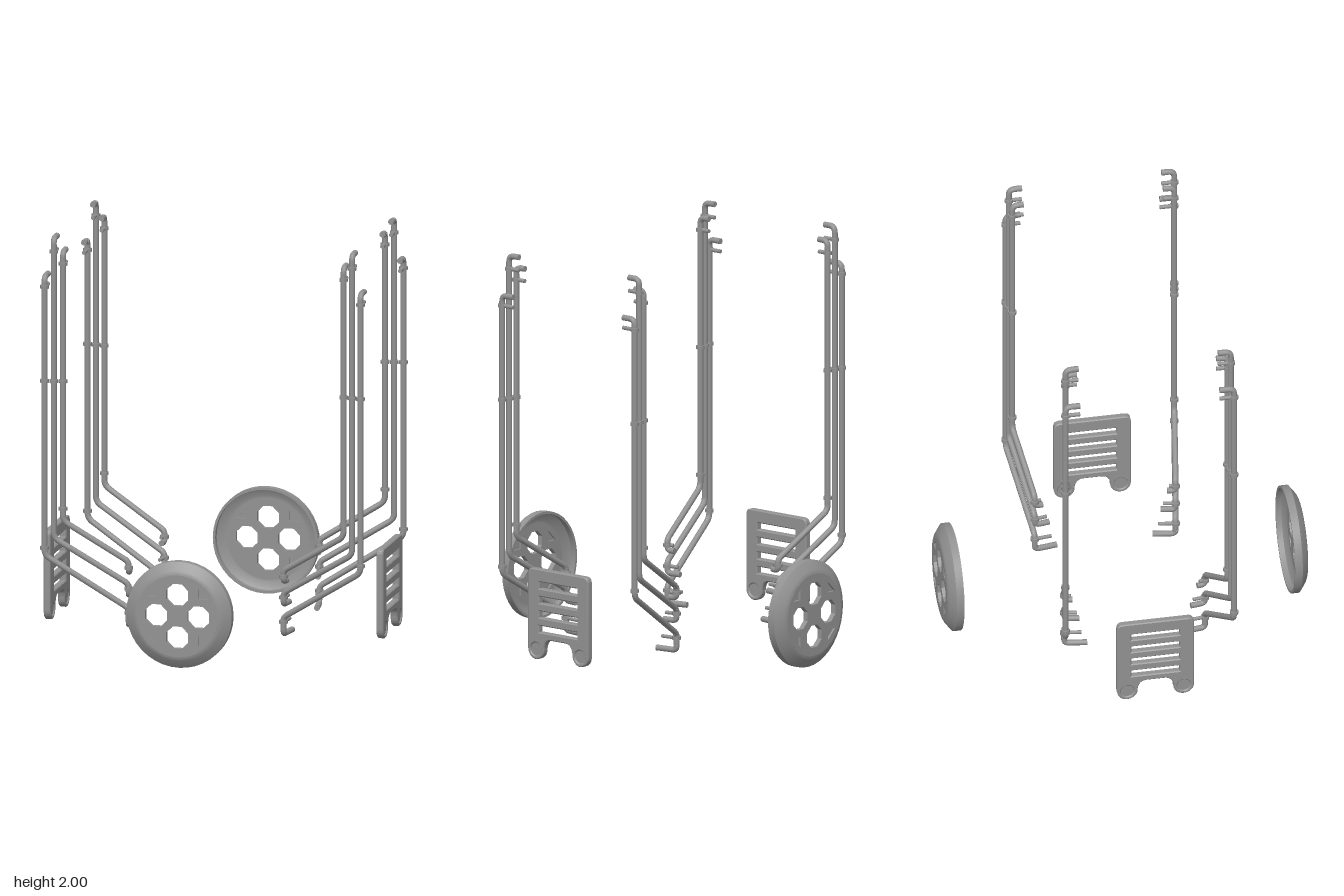
import * as THREE from 'three';
import { toCreasedNormals } from 'three/addons/utils/BufferGeometryUtils.js';

const material = new THREE.MeshStandardMaterial({ color: 0x929292 });
const PIPE_R = 0.0145;

function add(parent, name, geometry) {
  const mesh = new THREE.Mesh(geometry, material);
  mesh.name = name;
  parent.add(mesh);
  return mesh;
}

// Closed cylinder running from point a to point b
function rod(parent, name, a, b, radius) {
  const dir = b.clone().sub(a);
  const mesh = add(parent, name, new THREE.CylinderGeometry(radius, radius, dir.length(), 10));
  mesh.position.copy(a).addScaledVector(dir, 0.5);
  mesh.quaternion.setFromUnitVectors(new THREE.Vector3(0, 1, 0), dir.normalize());
}

// Straight runs joined by rounded elbows
function pipe(parent, points, bends) {
  let start = points[0];
  for (let i = 1; i < points.length; i++) {
    const p = points[i];
    if (i === points.length - 1) {
      rod(parent, 'pipeRun', start, p, PIPE_R);
      break;
    }
    const bend = bends[i - 1];
    const a = p.clone().add(points[i - 1].clone().sub(p).setLength(bend));
    const b = p.clone().add(points[i + 1].clone().sub(p).setLength(bend));
    rod(parent, 'pipeRun', start, a, PIPE_R);
    add(parent, 'pipeElbow', new THREE.TubeGeometry(new THREE.QuadraticBezierCurve3(a, p, b), 6, PIPE_R, 10));
    start = b;
  }
}

// Three bent pipes with collars and wall brackets for one corner
function pipeBundle(sx, sz) {
  const group = new THREE.Group();
  group.name = 'pipeBundle';
  const v = (x, y, z) => new THREE.Vector3(sx * x, y, sz * z);
  const specs = [
    { x: 0.698, z: 0.397, top: 1.92, knee: 0.59, low: 0.395, foot: 0.34, end: 0.305, collars: [1.28, 0.65], bracket: 1.86, clamp: 0.365, clampEnd: 0.315 },
    { x: 0.742, z: 0.405, top: 1.985, knee: 0.505, low: 0.285, foot: 0.228, end: 0.273, collars: [1.28], bracket: 1.92, clamp: 0.262, clampEnd: 0.285 },
    { x: 0.786, z: 0.413, top: 1.795, knee: 0.42, low: 0.165, foot: 0.082, end: 0.235, collars: [1.28, 0.455], bracket: 1.745, clamp: 0.142, clampEnd: 0.262 },
  ];
  for (const s of specs) {
    const hx = 0.385, hz = 0.345;
    const endX = hx + (hz - s.end) * 0.15;
    pipe(group, [
      v(s.x, s.top, 0.342), v(s.x, s.top, s.z), v(s.x, s.knee, s.z),
      v(hx, s.low, hz), v(hx, s.foot, hz), v(endX, s.foot, s.end),
    ], [0.03, 0.03, 0.022, 0.022]);
    for (const y of [...s.collars, s.bracket])
      rod(group, 'collar', v(s.x, y - 0.008, s.z), v(s.x, y + 0.008, s.z), 0.021);
    rod(group, 'wallBracket', v(s.x, s.bracket, s.z), v(s.x, s.bracket, 0.342), 0.01);
    rod(group, 'lowerCollar', v(hx, s.clamp - 0.008, hz), v(hx, s.clamp + 0.008, hz), 0.021);
    rod(group, 'lowerBracket', v(hx, s.clamp, hz), v(hx + 0.01, s.clamp, s.clampEnd), 0.009);
  }
  return group;
}

// Flat disc shape with four octagonal holes and optional triangular pockets
function discShape(radius, pockets) {
  const shape = new THREE.Shape().absarc(0, 0, radius, 0, Math.PI * 2, false);
  for (let i = 0; i < 4; i++) {
    const a = i * Math.PI / 2;
    const corners = [];
    for (let k = 0; k < 8; k++) {
      const b = -(k + 0.5) * Math.PI / 4;
      corners.push(new THREE.Vector2(Math.cos(a) * 0.105 + Math.cos(b) * 0.059, Math.sin(a) * 0.105 + Math.sin(b) * 0.059));
    }
    shape.holes.push(new THREE.Path(corners));
  }
  if (pockets) for (const sx of [1, -1]) for (const sy of [1, -1]) {
    const pts = [[0.105, 0.092], [0.158, 0.092], [0.105, 0.143]];
    shape.holes.push(new THREE.Path(pts.map(([x, y]) => new THREE.Vector2(sx * x, sy * y))));
  }
  return shape;
}

// Round cover: bevelled hollow rim with a pierced face
function cover() {
  const group = new THREE.Group();
  group.name = 'roundCover';
  const profile = [
    [0.2, 0.858], [0.213, 0.858], [0.25, 0.838], [0.25, 0.81], [0.262, 0.81],
    [0.262, 0.847], [0.222, 0.877], [0.208, 0.883], [0.2, 0.884], [0.2, 0.858],
  ].map(([r, h]) => new THREE.Vector2(r, h));
  const rim = new THREE.LatheGeometry(profile, 40).rotateX(Math.PI / 2);
  add(group, 'coverRim', toCreasedNormals(rim, 0.6));
  const plate = (name, z, depth, pockets) => {
    const geo = new THREE.ExtrudeGeometry(discShape(0.202, pockets), { depth, bevelEnabled: false, curveSegments: 20 });
    add(group, name, geo.translate(0, 0, z));
  };
  // Triangular pockets are sunk into both faces of a solid core
  plate('coverInnerFace', 0.858, 0.009, true);
  plate('coverCore', 0.867, 0.006, false);
  plate('coverFace', 0.873, 0.011, true);
  return group;
}

// Slotted side panel with two round feet and an arch between them
function panel(side) {
  const group = new THREE.Group();
  group.name = 'sidePanel';
  const w = 0.188, top = 0.492, r = 0.03, footU = 0.138, footY = 0.095, footR = 0.05;
  const s = new THREE.Shape();
  s.moveTo(-w, footY);
  s.absarc(-footU, footY, footR, Math.PI, Math.PI * 2, false);
  s.quadraticCurveTo(-0.085, 0.146, -0.045, 0.148);
  s.lineTo(0.045, 0.148);
  s.quadraticCurveTo(0.085, 0.146, footU - footR, footY);
  s.absarc(footU, footY, footR, Math.PI, Math.PI * 2, false);
  s.lineTo(w, top - r);
  s.quadraticCurveTo(w, top, w - r, top);
  s.lineTo(-w + r, top);
  s.quadraticCurveTo(-w, top, -w, top - r);
  s.closePath();
  for (let i = 0; i < 4; i++) {
    const y = 0.197 + i * 0.072, h = 0.0165, u = 0.119;
    s.holes.push(new THREE.Path([[-u, y - h], [-u, y + h], [u, y + h], [u, y - h]]
      .map(([a, b]) => new THREE.Vector2(a, b))));
  }
  for (const u of [-footU, footU])
    s.holes.push(new THREE.Path().absarc(u, footY, 0.032, 0, Math.PI * 2, true));
  const geo = new THREE.ExtrudeGeometry(s, {
    depth: 0.025, bevelThickness: 0.005, bevelSize: 0.005, bevelOffset: -0.005, bevelSegments: 1, curveSegments: 12,
  });
  geo.translate(0, 0, -0.0125).rotateY(-Math.PI / 2);
  add(group, 'panelPlate', toCreasedNormals(geo, 0.5));
  // Bolt heads sit slightly sunk in the feet
  for (const u of [-footU, footU]) {
    const bolt = new THREE.CylinderGeometry(0.034, 0.034, 0.023, 20).rotateZ(Math.PI / 2);
    add(group, 'panelBolt', bolt.translate(0, footY, u));
  }
  group.position.set(side * 0.8275, 0, 0.018);
  return group;
}

export function createModel() {
  const model = new THREE.Group();
  model.name = 'pipeAndCoverSet';
  for (const sx of [1, -1]) {
    for (const sz of [1, -1]) model.add(pipeBundle(sx, sz));
    model.add(panel(sx));
  }
  for (const angle of [0, Math.PI]) {
    const c = cover();
    c.rotation.y = angle;
    c.position.set(-0.004, 0.265, 0);
    model.add(c);
  }
  return model;
}
